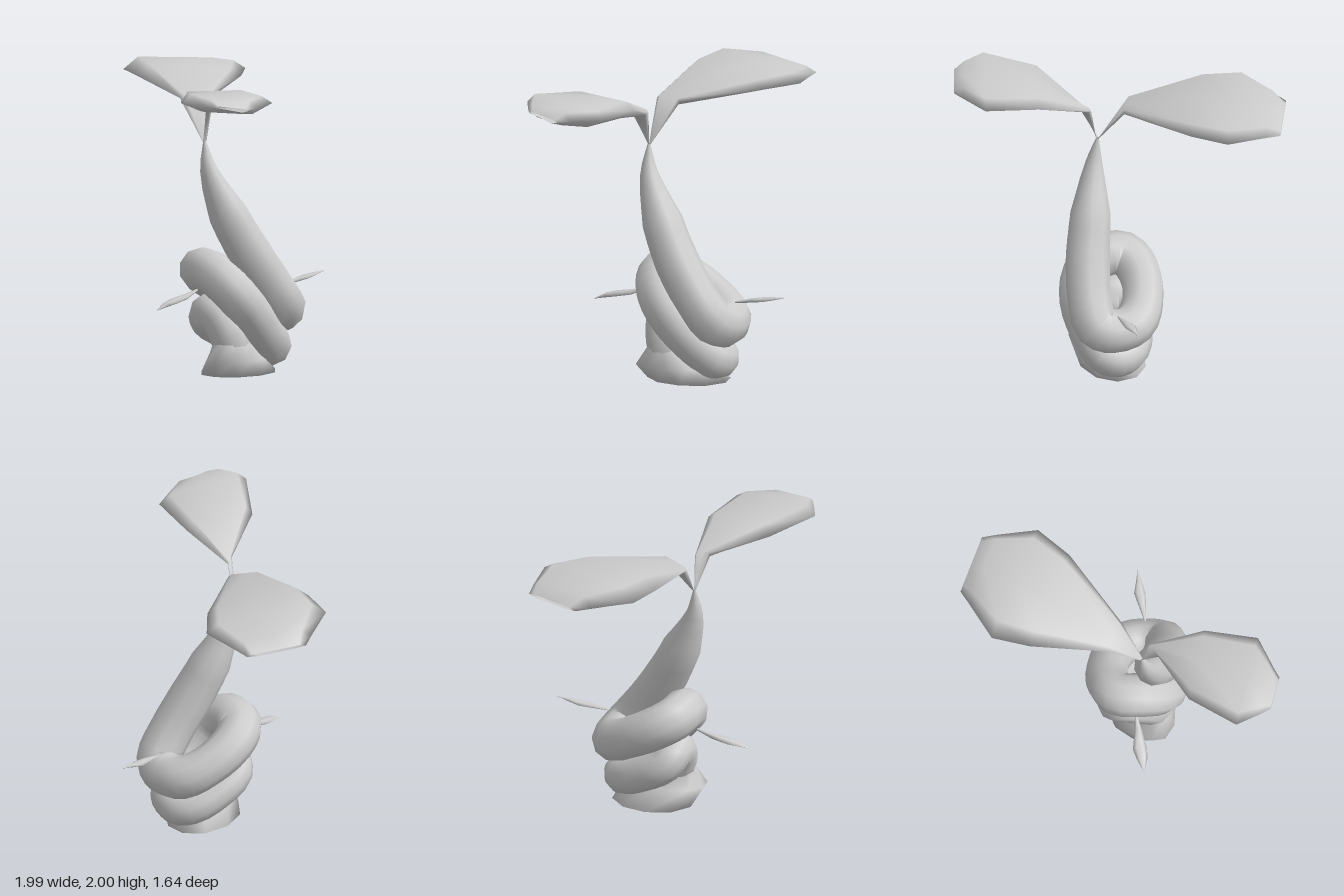
import * as THREE from 'three';

const V = (x, y, z) => new THREE.Vector3(x, y, z);
const material = new THREE.MeshStandardMaterial({ color: 0xcccccc });
const leafMaterial = new THREE.MeshStandardMaterial({ color: 0xcccccc, side: THREE.DoubleSide });

// Skin a list of equal-length closed point rows with smooth normals
function loft(rows) {
  const n = rows[0].length, index = [];
  for (let i = 0; i < rows.length - 1; i++) {
    for (let j = 0; j < n; j++) {
      const k = (j + 1) % n;
      const a = i * n + j, b = i * n + k, c = a + n, d = b + n;
      index.push(a, b, d, a, d, c);
    }
  }
  const geo = new THREE.BufferGeometry().setFromPoints(rows.flat());
  geo.setIndex(index);
  geo.computeVertexNormals();
  return geo;
}

// Elliptical ring around c spanned by u and v
function ring(c, u, v, ru, rv, sides) {
  return Array.from({ length: sides }, (_, j) => {
    const a = (j / sides) * Math.PI * 2;
    return c.clone().addScaledVector(u, Math.cos(a) * ru).addScaledVector(v, Math.sin(a) * rv);
  });
}

// Tube of varying radius through [x, y, z, radius] stations
function vine(stations, samples, sides) {
  const curve = new THREE.CatmullRomCurve3(stations.map(s => V(s[0], s[1], s[2])), false, 'centripetal');
  const rows = [];
  let normal = V(1, 0, 0);
  for (let i = 0; i <= samples; i++) {
    const t = i / samples, f = t * (stations.length - 1);
    const k = Math.min(Math.floor(f), stations.length - 2);
    const r = THREE.MathUtils.lerp(stations[k][3], stations[k + 1][3], f - k);
    const tangent = curve.getTangent(t);
    normal = normal.clone().addScaledVector(tangent, -normal.dot(tangent)).normalize();
    rows.push(ring(curve.getPoint(t), normal, tangent.clone().cross(normal), r, r, sides));
  }
  return loft(rows);
}

// Fleshy leaf: each section is [edge A, edge B, crown at A, crown at B, belly at A, belly at B]
function leaf(sections) {
  return loft(sections.map(([a, b, topA, topB, lowA, lowB]) => {
    const A = V(...a), B = V(...b);
    const at = (t, y) => { const p = A.clone().lerp(B, t); p.y = y; return p; };
    return [
      A, at(0.12, topA), at(0.5, (topA + topB) / 2), at(0.9, topB),
      B, at(0.78, lowB), at(0.5, (lowA + lowB) / 2), at(0.22, lowA),
    ];
  }));
}

// Slim pointed leaflet: stations are [x, y, z, half width, half thickness]
function leaflet(stations) {
  const dir = Math.sign(stations[stations.length - 1][2] - stations[0][2]);
  return loft(stations.map(([x, y, z, w, h]) => ring(V(x, y, z), V(dir, 0, 0), V(0, 1, 0), w, h, 6)));
}

export function createModel() {
  const group = new THREE.Group();
  const add = (name, geo, mat = material) => {
    const mesh = new THREE.Mesh(geo, mat);
    mesh.name = name;
    group.add(mesh);
  };

  // Stem coiling down from the crown in two loops to the ground
  add('coiledStem', vine([
    [0.13, 1.56, 0.14, 0.01],
    [0.16, 1.37, 0.13, 0.06],
    [0.23, 1.07, 0.02, 0.135],
    [0.30, 0.82, -0.10, 0.148],
    [0.35, 0.60, -0.24, 0.147],
    [0.345, 0.44, -0.36, 0.15],
    [0.24, 0.40, -0.405, 0.148],
    [0.10, 0.42, -0.40, 0.145],
    [-0.015, 0.50, -0.28, 0.137],
    [-0.065, 0.61, -0.09, 0.142],
    [-0.015, 0.68, 0.04, 0.145],
    [0.13, 0.68, 0.07, 0.145],
    [0.27, 0.59, 0.04, 0.145],
    [0.335, 0.45, -0.06, 0.14],
    [0.325, 0.30, -0.19, 0.135],
    [0.28, 0.18, -0.32, 0.13],
    [0.19, 0.15, -0.36, 0.125],
    [0.08, 0.17, -0.32, 0.12],
    [0.00, 0.25, -0.17, 0.12],
    [-0.02, 0.34, -0.02, 0.12],
    [0.05, 0.41, 0.02, 0.125],
    [0.155, 0.36, 0.02, 0.13],
    [0.22, 0.25, 0.0, 0.13],
    [0.245, 0.13, -0.02, 0.11],
  ], 69, 10));

  // Foot flaring onto the ground: [x, y, z, half width, half depth]
  add('foot', loft([
    [0.15, 0, -0.14, 0, 0],
    [0.15, 0, -0.14, 0.22, 0.28],
    [0.235, 0.10, -0.04, 0.147, 0.24],
    [0.23, 0.22, -0.01, 0.118, 0.13],
    [0.20, 0.32, 0.01, 0.085, 0.09],
  ].map(([x, y, z, w, d]) => ring(V(x, y, z), V(1, 0, 0), V(0, 0, -1), w, d, 10))));

  // Two broad crown leaves
  add('largeBackLeaf', leaf([
    [[0.12, 1.55, 0.145], [0.14, 1.55, 0.135], 1.555, 1.555, 1.545, 1.545],
    [[-0.10, 1.82, 0.15], [0.02, 1.83, -0.04], 1.84, 1.85, 1.80, 1.80],
    [[-0.60, 1.90, 0.07], [-0.25, 1.88, -0.53], 1.97, 1.93, 1.83, 1.83],
    [[-0.84, 1.91, -0.02], [-0.43, 1.89, -0.73], 1.99, 1.945, 1.83, 1.84],
    [[-0.95, 1.89, -0.28], [-0.70, 1.88, -0.74], 1.95, 1.93, 1.835, 1.85],
    [[-0.995, 1.88, -0.38], [-0.80, 1.87, -0.74], 1.89, 1.88, 1.87, 1.86],
  ]), leafMaterial);
  add('largeFrontLeaf', leaf([
    [[0.14, 1.55, 0.135], [0.12, 1.55, 0.145], 1.555, 1.555, 1.545, 1.545],
    [[0.18, 1.79, 0.13], [0.23, 1.78, 0.22], 1.81, 1.80, 1.77, 1.77],
    [[0.55, 1.90, 0.125], [0.38, 1.89, 0.58], 1.95, 1.96, 1.83, 1.84],
    [[0.89, 1.91, 0.23], [0.66, 1.94, 0.82], 1.96, 2.0, 1.845, 1.88],
    [[0.96, 1.90, 0.44], [0.82, 1.935, 0.77], 1.955, 1.98, 1.87, 1.89],
    [[0.99, 1.90, 0.52], [0.90, 1.93, 0.74], 1.91, 1.94, 1.89, 1.92],
  ]), leafMaterial);

  // Leaflets sprouting from the coils
  add('smallFrontLeaf', leaflet([
    [0.09, 0.57, 0.17, 0.008, 0.008],
    [0.09, 0.535, 0.27, 0.025, 0.018],
    [0.085, 0.515, 0.38, 0.047, 0.018],
    [0.09, 0.50, 0.45, 0.035, 0.014],
    [0.09, 0.47, 0.53, 0.001, 0.001],
  ]), leafMaterial);
  add('smallBackLeaf', leaflet([
    [0.245, 0.56, -0.48, 0.006, 0.006],
    [0.24, 0.58, -0.59, 0.026, 0.014],
    [0.235, 0.59, -0.67, 0.037, 0.014],
    [0.24, 0.602, -0.74, 0.02, 0.01],
    [0.245, 0.615, -0.82, 0.001, 0.001],
  ]), leafMaterial);

  return group;
}
